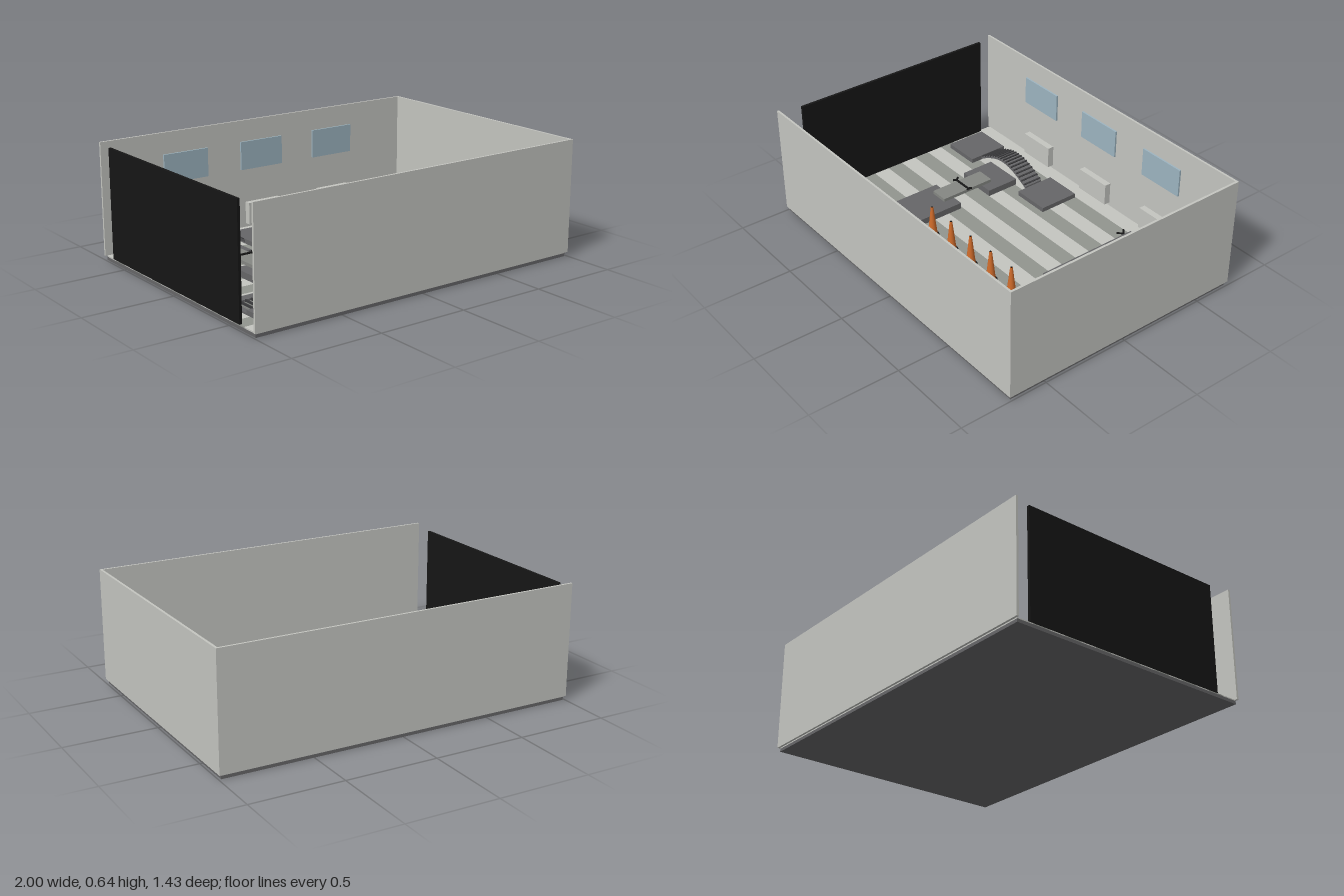
import * as THREE from 'three';

const mat = (name, color) => {
  const m = new THREE.MeshStandardMaterial({ color });
  m.name = name;
  return m;
};

export function createModel() {
  const root = new THREE.Group();
  root.name = 'trainingRoom';
  const wall = mat('pale grey', 0xc4c5c0);
  const darkTile = mat('tile grey', 0x92958f);
  const steel = mat('dark grey', 0x666668);
  const deck = mat('deck grey', 0x858783);
  const slat = mat('slat grey', 0x3c3c3e);
  const black = mat('black', 0x161616);
  const orange = mat('orange', 0xcd6a2a);
  const glass = mat('glass blue', 0x9db4c0);

  const group = (name, parent = root) => {
    const g = new THREE.Group();
    g.name = name;
    parent.add(g);
    return g;
  };
  // Box given by its limits on each axis
  const box = (name, m, x0, x1, y0, y1, z0, z1, parent = root) => {
    const o = new THREE.Mesh(new THREE.BoxGeometry(x1 - x0, y1 - y0, z1 - z0), m);
    o.name = name;
    o.position.set((x0 + x1) / 2, (y0 + y1) / 2, (z0 + z1) / 2);
    parent.add(o);
    return o;
  };
  // Thin round bar between two points
  const bar = (name, m, a, b, r, parent) => {
    const curve = new THREE.LineCurve3(new THREE.Vector3(...a), new THREE.Vector3(...b));
    const o = new THREE.Mesh(new THREE.TubeGeometry(curve, 1, r, 8), m);
    o.name = name;
    parent.add(o);
  };

  // Floor slab with striped rows of tiles
  const floor = group('floor');
  box('floorSlab', steel, -0.99, 0.987, 0, 0.017, -0.706, 0.706, floor);
  for (let i = 0; i < 15; i++) {
    const z = -0.705 + i * 0.094;
    box('tileRow', i % 2 ? darkTile : wall, -0.988, 0.986, 0.017, 0.024, z, z + 0.094, floor);
  }

  // Three walls and the black door panel on the open side
  const walls = group('walls');
  box('frontWall', wall, -1, 1, 0.024, 0.64, 0.705, 0.717, walls);
  box('backWall', wall, -1, 1, 0.024, 0.64, -0.717, -0.705, walls);
  box('sideWall', wall, 0.987, 1, 0.024, 0.64, -0.705, 0.705, walls);
  box('doorPanel', black, -0.992, -0.977, 0.024, 0.623, -0.632, 0.575);

  // Windows with radiators below
  for (const x of [-0.495, -0.005, 0.485]) {
    box('window', glass, x - 0.137, x + 0.137, 0.36, 0.52, -0.705, -0.695);
    box('radiator', wall, x - 0.108, x + 0.108, 0.045, 0.17, -0.705, -0.668);
  }

  // Arched plank bridge between two landings
  const bridge = group('archBridge');
  for (const x of [-0.828, -0.183])
    box('landing', steel, x - 0.108, x + 0.108, 0.024, 0.05, -0.605, -0.37, bridge);
  const archY = (x) => 0.05 + 0.075 * Math.cos((x / 0.41) * Math.PI);
  const arch = new THREE.Shape();
  for (let i = 0; i <= 16; i++) {
    const x = -0.205 + i * 0.0256;
    arch[i ? 'lineTo' : 'moveTo'](x, archY(x));
  }
  for (let i = 16; i >= 0; i--) {
    const x = -0.205 + i * 0.0256;
    arch.lineTo(x, archY(x) - 0.014);
  }
  const archMesh = new THREE.Mesh(
    new THREE.ExtrudeGeometry(arch, { depth: 0.115, bevelEnabled: false }), steel);
  archMesh.name = 'archDeck';
  archMesh.position.set(-0.505, 0, -0.545);
  bridge.add(archMesh);
  for (let i = 0; i < 17; i++) {
    const x = -0.192 + i * 0.024;
    const s = box('plankEdge', slat, -0.509 + x, -0.501 + x,
      archY(x) - 0.004, archY(x) + 0.006, -0.545, -0.43, bridge);
    s.rotation.z = Math.atan(-0.075 * (Math.PI / 0.41) * Math.sin((x / 0.41) * Math.PI));
  }

  // Balance beam across two platforms, with a forked axle
  const beam = group('balanceBeam');
  box('rearPlatform', steel, -0.62, -0.385, 0.024, 0.06, -0.43, -0.235, beam);
  box('frontPlatform', steel, -0.62, -0.385, 0.024, 0.06, -0.037, 0.255, beam);
  box('beamDeck', deck, -0.555, -0.45, 0.06, 0.078, -0.3, -0.03 + 0.06, beam);
  bar('axle', black, [-0.56, 0.084, -0.135], [-0.445, 0.084, -0.135], 0.006, beam);
  for (const s of [-1, 1]) {
    bar('axleFork', black, [-0.503 + s * 0.055, 0.084, -0.135],
      [-0.503 + s * 0.07, 0.084, -0.135 + s * 0.02], 0.006, beam);
    bar('axleFork', black, [-0.503 + s * 0.055, 0.084, -0.135],
      [-0.503 + s * 0.065, 0.084, -0.135 - s * 0.018], 0.006, beam);
  }

  // Long trough with a lighter deck and rungs at both ends; runs along local x
  const trough = (name, length, width, inner, rungs) => {
    const g = group(name);
    const l = length / 2, w = width / 2, n = inner / 2;
    box('troughBase', steel, -l, l, 0.024, 0.034, -w, w, g);
    for (const s of [-1, 1]) {
      const a = s * w, b = s * n;
      box('sideRail', steel, -l, l, 0.034, 0.05, Math.min(a, b), Math.max(a, b), g);
      for (let i = 0; i < rungs; i++) {
        const x = s * (l - 0.04 - i * 0.033);
        box('rung', slat, x - 0.004, x + 0.004, 0.04, 0.053, -n, n, g);
      }
    }
    box('troughDeck', deck, -l + 0.03, l - 0.03, 0.034, 0.041, -n, n, g);
    return g;
  };
  trough('frontTrough', 0.785, 0.23, 0.12, 6).position.set(-0.503, 0, 0.43);
  const side = trough('sideTrough', 0.615, 0.24, 0.11, 6);
  side.position.set(0.505, 0, -0.297);
  side.rotation.y = Math.PI / 2;

  // Row of traffic cones
  for (let i = 0; i < 6; i++) {
    const cone = group('trafficCone');
    cone.position.set(-0.27 + i * 0.17, 0.024, 0.24);
    const add = (name, m, r0, r1, y, h) => {
      const o = new THREE.Mesh(new THREE.CylinderGeometry(r0, r1, h, 24), m);
      o.name = name;
      o.position.y = y + h / 2;
      cone.add(o);
    };
    add('coneFoot', black, 0.036, 0.036, 0, 0.01);
    add('coneBody', orange, 0.007, 0.027, 0.01, 0.176);
    add('coneTip', black, 0.005, 0.005, 0.18, 0.008);
  }

  // Forked poles lying on the floor
  for (const [x, z, s] of [[0.362, -0.578, -1], [-0.365, 0.563, 1], [0.18, 0.57, 1]]) {
    const g = group('forkedPole');
    g.position.set(x, 0.03, z);
    bar('pole', black, [-s * 0.045, 0, 0], [s * 0.005, 0, 0], 0.005, g);
    for (const t of [-1, 1])
      bar('prong', black, [s * 0.002, 0, 0], [s * 0.03, 0, t * 0.025], 0.005, g);
  }

  // Equipment bench by the back wall
  const bench = group('equipmentBench');
  box('benchBody', orange, 0.64, 0.84, 0.024, 0.1, -0.69, -0.662, bench);
  box('benchStep', orange, 0.65, 0.71, 0.024, 0.075, -0.662, -0.64, bench);
  box('benchCase', glass, 0.575, 0.64, 0.024, 0.1, -0.69, -0.64, bench);

  return root;
}
